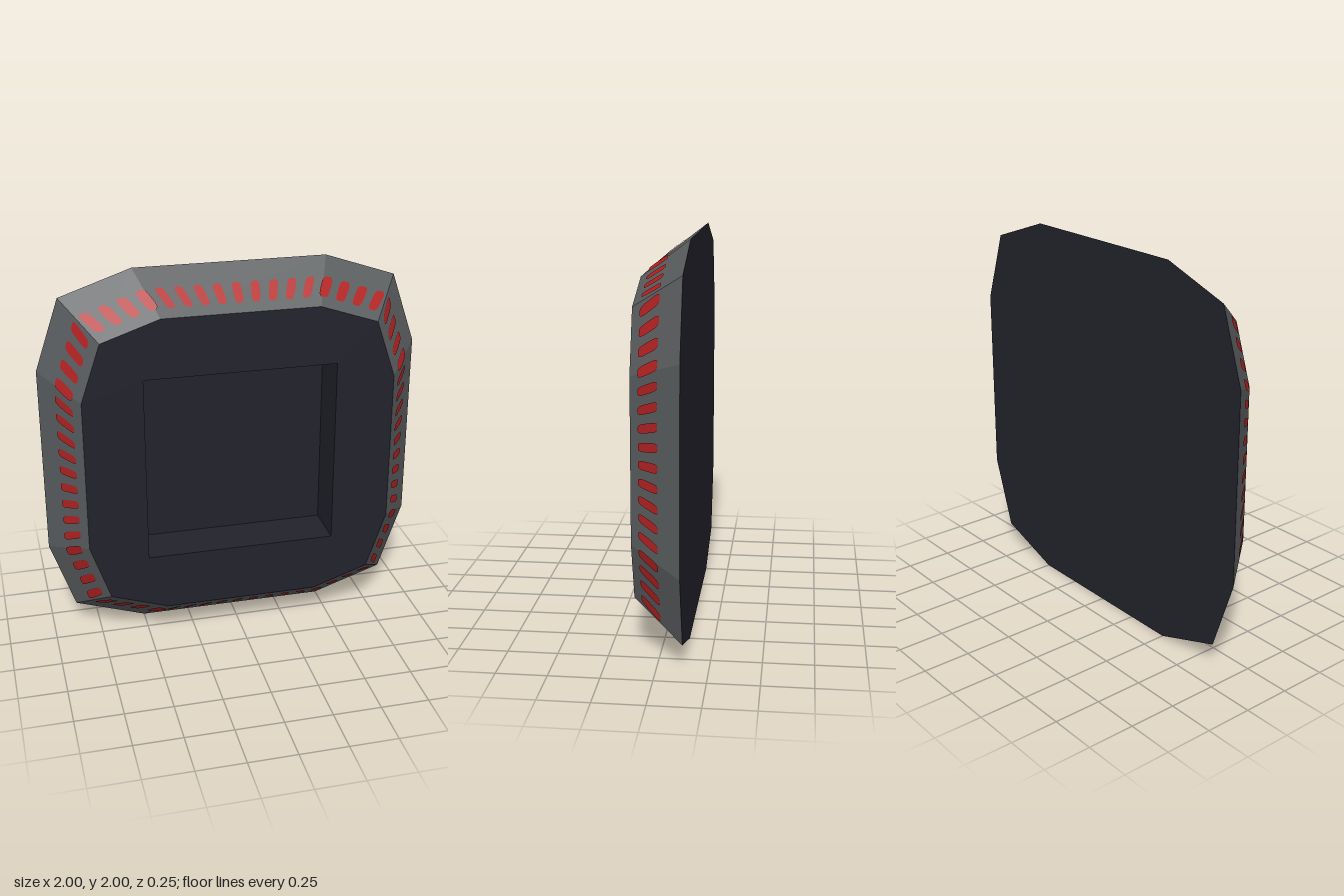
import * as THREE from 'three';

const BACK = -0.125, FRONT = 0.125, SHRINK = 0.19, CORNER = 0.873;

// outline scale at depth z (the rim narrows toward the front)
const scaleAt = z => 1 - SHRINK * (z - BACK) / (FRONT - BACK);

// twelve-sided outline, counter-clockwise
function outline(scale) {
  const pts = [];
  for (let k = 0; k < 4; k++) {
    for (const [x, y] of [[1, -0.5], [1, 0.5], [CORNER, CORNER]]) {
      pts.push(new THREE.Vector2(x * scale, y * scale).rotateAround(new THREE.Vector2(), k * Math.PI / 2));
    }
  }
  return pts;
}

// sloping rim between the back and front outlines
function rimGeometry() {
  const a = outline(1), b = outline(1 - SHRINK), pos = [];
  a.forEach((p, i) => {
    const j = (i + 1) % a.length, q = a[j], r = b[i], s = b[j];
    pos.push(p.x, p.y, BACK, q.x, q.y, BACK, s.x, s.y, FRONT);
    pos.push(p.x, p.y, BACK, s.x, s.y, FRONT, r.x, r.y, FRONT);
  });
  const g = new THREE.BufferGeometry();
  g.setAttribute('position', new THREE.Float32BufferAttribute(pos, 3));
  g.computeVertexNormals();
  return g;
}

// rounded slanted dash lying just above the upper slope, centred at v along the side
function dashGeometry(v, width) {
  const pts = [], soft = t => Math.sign(t) * Math.pow(Math.abs(t), 0.5);
  for (let i = 0; i < 16; i++) {
    const a = (i + 0.5) * Math.PI / 8;
    pts.push(new THREE.Vector2(soft(Math.cos(a)) * width / 2, soft(Math.sin(a)) * 0.05));
  }
  const g = new THREE.ShapeGeometry(new THREE.Shape(pts));
  const slope = (1 - CORNER) / (CORNER - 0.5);
  const onCorner = Math.abs(v) > 0.5;
  const lean = 0.2 * Math.max(-1, Math.min(1, v * 4));
  const p = g.attributes.position;
  for (let i = 0; i < p.count; i++) {
    const y = p.getY(i), z = 0.031 - y, s = scaleAt(z);
    const along = v + p.getX(i) + lean * y;
    const height = onCorner ? 1 - (Math.abs(along) - 0.5) * slope : 1;
    p.setXYZ(i, along * s, height * s + 0.004, z + 0.003);
  }
  g.computeVertexNormals();
  return g;
}

export function createModel() {
  const dark = new THREE.MeshStandardMaterial({ color: 0x22222c });
  dark.name = 'dark panel';
  const grey = new THREE.MeshStandardMaterial({ color: 0x5a5d5f });
  grey.name = 'grey rim';
  const red = new THREE.MeshStandardMaterial({ color: 0xb22222 });
  red.name = 'red dashes';

  const model = new THREE.Group();
  model.name = 'framedPanel';
  const body = new THREE.Group();
  body.name = 'body';
  body.position.y = 1;
  model.add(body);
  const add = (parent, name, geometry, material) => {
    const mesh = new THREE.Mesh(geometry, material);
    mesh.name = name;
    parent.add(mesh);
    return mesh;
  };

  add(body, 'slopedRim', rimGeometry(), grey);

  // front face with a square opening
  const face = new THREE.Shape(outline(1 - SHRINK));
  face.holes.push(new THREE.Path([[-0.5, -0.5], [-0.5, 0.5], [0.5, 0.5], [0.5, -0.5]]
    .map(([x, y]) => new THREE.Vector2(x, y))));
  add(body, 'frontFace', new THREE.ShapeGeometry(face), dark).position.z = FRONT;

  // closed back
  const back = add(body, 'backFace', new THREE.ShapeGeometry(new THREE.Shape(outline(1))), dark);
  back.rotation.y = Math.PI;
  back.position.z = BACK;

  // square recess
  const floorZ = BACK + 0.002, depth = FRONT - floorZ;
  add(body, 'recessFloor', new THREE.PlaneGeometry(1, 1), dark).position.z = floorZ;

  for (let k = 0; k < 4; k++) {
    const side = new THREE.Group();
    side.name = 'side' + (k + 1);
    side.rotation.z = k * Math.PI / 2;
    body.add(side);

    // recess wall facing the centre
    const wall = new THREE.PlaneGeometry(1, depth).rotateX(Math.PI / 2);
    add(side, 'recessWall', wall, dark).position.set(0, 0.5, (FRONT + floorZ) / 2);

    // row of dashes fanning outward from the middle
    for (let i = -8; i <= 8; i++) {
      const v = i * 0.103;
      add(side, 'dash', dashGeometry(v, Math.abs(v) > 0.5 ? 0.058 : 0.052), red);
    }
  }
  return model;
}
